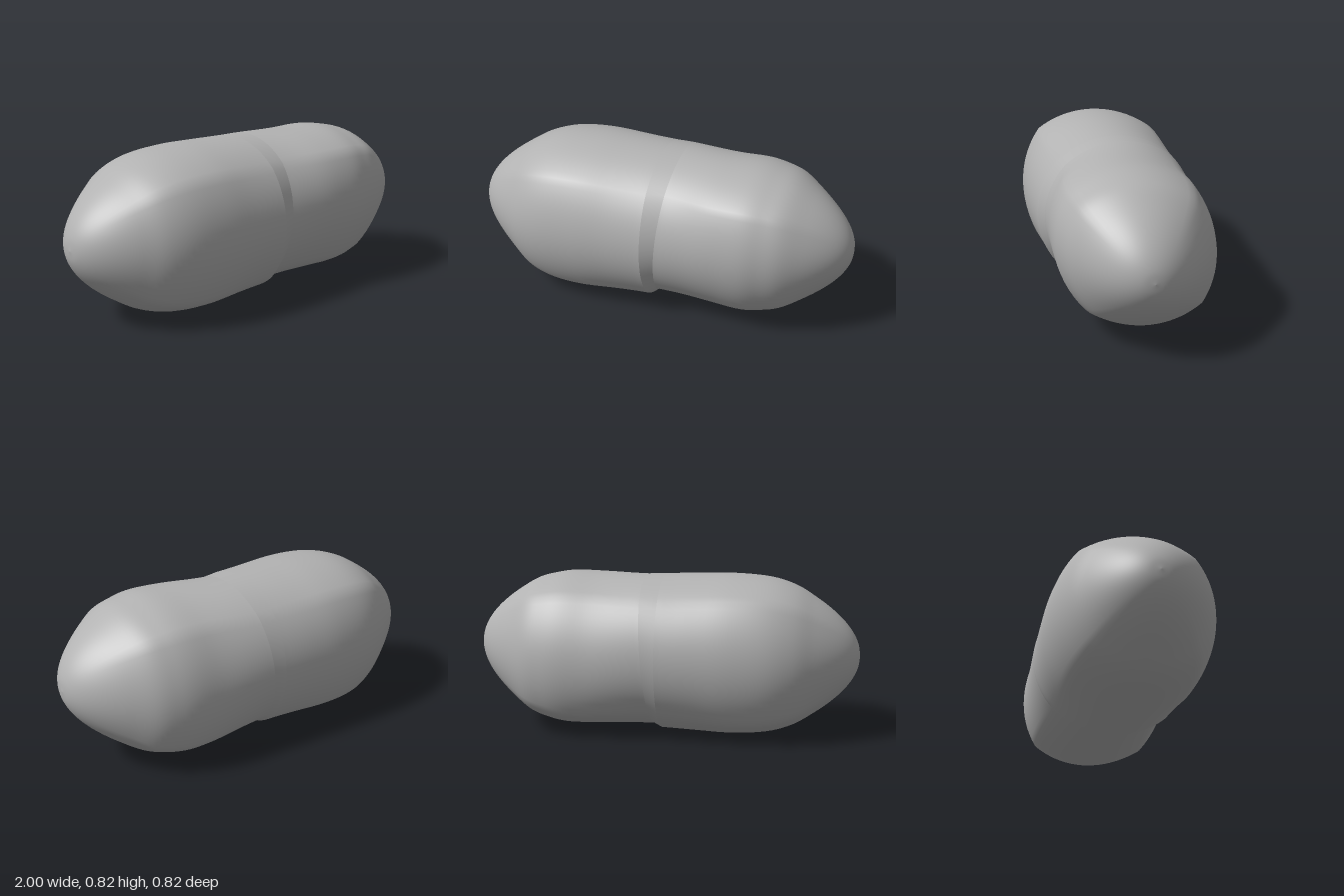
import * as THREE from 'three';

const SIDES = 72;
const grey = new THREE.MeshStandardMaterial({ color: 0xb2b2b2 });
grey.name = 'plain grey';

// Radius of a softly squared section: four shallow arcs meeting at ridges
function squaredRadius(angle, amount) {
  const q = Math.PI / 2;
  const t = angle - Math.round(angle / q) * q;
  const c = 0.293 * amount;
  return -c * Math.cos(t) + Math.sqrt((1 + c) ** 2 - (c * Math.sin(t)) ** 2);
}

// Ridges are strongest at the shoulders and fade towards waist and tip
function ridgeAmount(x) {
  const a = Math.abs(x);
  return (0.3 + 0.7 * THREE.MathUtils.smoothstep(a, 0.05, 0.5))
    * (1 - THREE.MathUtils.smoothstep(a, 0.62, 0.97));
}

// One ring of points; lean shears it sideways, tilt slants it along x
function ring({ x, y, z, r, lean = 0, tilt = 0 }) {
  const points = [];
  for (let i = 0; i < SIDES; i++) {
    const a = (i / SIDES) * Math.PI * 2;
    const s = r * squaredRadius(a, ridgeAmount(x));
    const dy = s * Math.sin(a);
    points.push(x + tilt * dy, y + dy, z + s * Math.cos(a) + lean * dy);
  }
  return points;
}

function loft(name, rings) {
  const index = [];
  for (let k = 0; k < rings.length - 1; k++) {
    for (let i = 0; i < SIDES; i++) {
      const a = k * SIDES + i;
      const b = k * SIDES + (i + 1) % SIDES;
      index.push(a, a + SIDES, b, b, a + SIDES, b + SIDES);
    }
  }
  const geometry = new THREE.BufferGeometry();
  geometry.setAttribute('position', new THREE.Float32BufferAttribute(rings.flat(), 3));
  geometry.setIndex(index);
  geometry.computeVertexNormals();
  const mesh = new THREE.Mesh(geometry, grey);
  mesh.name = name;
  return mesh;
}

// Stations are [x, centre y, centre z, radius], ordered from waist to shoulder;
// a parabolic cap carries on from the last one to the tip
function sections(stations, tip, shape) {
  const [sx, sy, sz, sr] = stations[stations.length - 1];
  const all = [...stations];
  for (let i = 1; i <= 6; i++) {
    const f = 1 - i / 6;
    const k = 1 - f * f;
    all.push([sx + (tip[0] - sx) * k, sy + (tip[1] - sy) * k, sz + (tip[2] - sz) * k, sr * f]);
  }
  const spline = (pick) => new THREE.CatmullRomCurve3(all.map(pick), false, 'catmullrom');
  const size = spline((s) => new THREE.Vector3(s[0], s[3], 0));
  const axis = spline((s) => new THREE.Vector3(0, s[1], s[2]));
  const count = (all.length - 1) * 5;
  return Array.from({ length: count + 1 }, (_, i) => {
    const p = size.getPoint(i / count);
    const c = axis.getPoint(i / count);
    return ring({ x: p.x, y: c.y, z: c.z, r: Math.max(p.y, 0), ...shape(p.x) });
  });
}

export function createModel() {
  const group = new THREE.Group();
  group.name = 'capsule';

  // Larger, straight half
  const right = sections([
    [0, 0.417, -0.002, 0.402],
    [-0.18, 0.416, -0.003, 0.408],
    [-0.36, 0.415, -0.003, 0.411],
    [-0.54, 0.415, -0.002, 0.396],
    [-0.67, 0.415, 0, 0.357],
  ], [-1, 0.415, 0], () => ({})).reverse();

  // Slightly smaller half, leaning and set off from the other
  const left = sections([
    [0.067, 0.428, -0.013, 0.388],
    [0.2, 0.428, -0.005, 0.389],
    [0.35, 0.427, 0.006, 0.392],
    [0.5, 0.428, 0.012, 0.393],
    [0.6, 0.43, 0.014, 0.376],
    [0.69, 0.433, 0.02, 0.348],
  ], [1, 0.443, 0.05], (x) => ({
    lean: 0.1 * THREE.MathUtils.smoothstep(x, 0, 0.4),
    tilt: 0.08 * (1 - THREE.MathUtils.smoothstep(x, 0.05, 0.35)),
  }));

  group.add(loft('rightHalf', right));
  group.add(loft('leftHalf', left));
  // Narrow step joining the halves
  group.add(loft('waistStep', [right[right.length - 1], left[0]]));
  return group;
}
